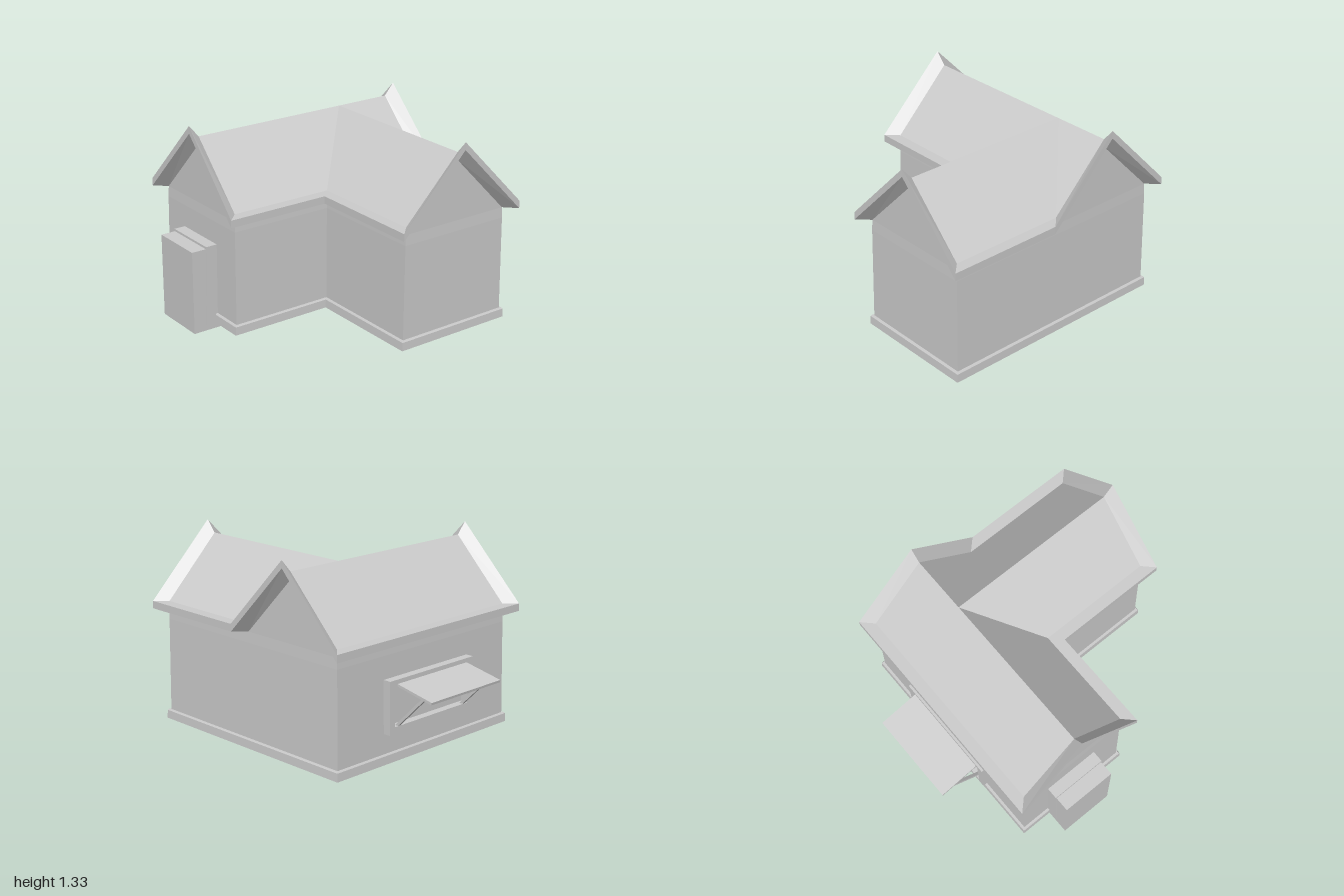
import * as THREE from 'three';

const material = new THREE.MeshStandardMaterial({ color: 0xcccccc, flatShading: true, side: THREE.DoubleSide });

// Plan of the L-shaped house: ridge lines, half span and gable ends
const AX = -0.265, BZ = -0.41, H = 0.395;
const FRONT = 0.695, RIGHT = 0.922, LEFT = AX - H, INX = AX + H, INZ = BZ + H, BACK = BZ - H;

function addMesh(group, name, geometry) {
  const mesh = new THREE.Mesh(geometry, material);
  mesh.name = name;
  group.add(mesh);
  return mesh;
}

function addBox(group, name, x0, x1, y0, y1, z0, z1) {
  const mesh = addMesh(group, name, new THREE.BoxGeometry(x1 - x0, y1 - y0, z1 - z0));
  mesh.position.set((x0 + x1) / 2, (y0 + y1) / 2, (z0 + z1) / 2);
  return mesh;
}

// Flat-faced geometry from convex polygons, each a list of [x, y, z] corners
function fromPolygons(polygons) {
  const positions = [];
  for (const p of polygons)
    for (let i = 1; i < p.length - 1; i++) positions.push(...p[0], ...p[i], ...p[i + 1]);
  const geometry = new THREE.BufferGeometry();
  geometry.setAttribute('position', new THREE.Float32BufferAttribute(positions, 3));
  geometry.computeVertexNormals();
  return geometry;
}

// Quads joining neighbouring closed rings
function strips(rings) {
  const quads = [];
  for (let r = 0; r < rings.length - 1; r++) {
    const a = rings[r], b = rings[r + 1];
    a.forEach((p, i) => {
      const j = (i + 1) % a.length;
      quads.push([p, a[j], b[j], b[i]]);
    });
  }
  return quads;
}

// L-shaped outline grown outward by d, at height y
const outline = (d, y) => [
  [LEFT - d, y, FRONT + d], [INX + d, y, FRONT + d], [INX + d, y, INZ + d],
  [RIGHT + d, y, INZ + d], [RIGHT + d, y, BACK - d], [LEFT - d, y, BACK - d],
];

// Solid through a stack of L-shaped [offset, height] levels
function stackL(levels) {
  const rings = levels.map(([d, y]) => outline(d, y));
  const caps = [[0, 1, 2], [0, 2, 5], [2, 3, 4], [2, 4, 5]];
  const top = rings[rings.length - 1];
  return [
    ...strips(rings),
    ...caps.map((c) => c.map((i) => top[i])),
    ...caps.map((c) => c.map((i) => rings[0][i]).reverse()),
  ];
}

function createRoof() {
  // Perimeter: x, z, outward direction x and z, 1 where a gable peaks
  const path = [
    [LEFT, FRONT, -1, 1, 0], [AX, FRONT, 0, 1, 1], [INX, FRONT, 1, 1, 0],
    [INX, INZ, 1, 1, 0],
    [RIGHT, INZ, 1, 1, 0], [RIGHT, BZ, 1, 0, 1], [RIGHT, BACK, 1, -1, 0],
    [INX, BACK, 1, -1, 0], [AX, BACK, 0, -1, 1], [LEFT, BACK, -1, -1, 0],
  ];
  const ring = (d, eaveY, peakY) => path.map(([x, z, sx, sz, peak]) => {
    const k = peak && d ? d - 0.008 : d;
    return [x + sx * k, peak ? peakY : eaveY, z + sz * k];
  });
  const top = ring(0, 0.85, 1.25);
  // Flared rim, fascia and soffit
  const rim = strips([top, ring(0.077, 0.85, 1.33), ring(0.077, 0.8, 1.28), ring(0, 0.8, 1.2)]);
  rim.forEach((q) => q.reverse());
  // Slopes meeting at the ridge crossing
  const cross = [AX, 1.25, BZ];
  const slopes = [[0, 1, 8, 9], [1, 2, 3], [3, 4, 5], [5, 6, 7], [7, 8]]
    .map((s, i) => (i === 0 ? s.map((k) => top[k]) : [cross, ...s.map((k) => top[k])]));
  return fromPolygons([...rim, ...slopes]);
}

export function createModel() {
  const house = new THREE.Group();
  house.name = 'house';

  // Plinth, slightly tapered walls and the band under the eaves
  const plinth = stackL([[0.03, 0.04], [0.027, 0.095], [0.022, 0.102]]);
  const walls = stackL([[0.01, 0.09], [0.003, 0.73]]);
  const band = stackL([[0.003, 0.73], [0, 0.8]]);
  for (const polys of [plinth, walls, band])
    polys.forEach((p) => p.length === 4 && p);
  addMesh(house, 'plinth', fromPolygons(plinth));
  addMesh(house, 'walls', fromPolygons(walls));
  addMesh(house, 'eavesBand', fromPolygons(band));

  // Gable triangles
  addMesh(house, 'gables', fromPolygons([
    [[LEFT, 0.8, FRONT], [INX, 0.8, FRONT], [AX, 1.2, FRONT]],
    [[RIGHT, 0.8, INZ], [RIGHT, 0.8, BACK], [RIGHT, 1.2, BZ]],
    [[INX, 0.8, BACK], [LEFT, 0.8, BACK], [AX, 1.2, BACK]],
  ]));
  addMesh(house, 'roof', createRoof());

  // Door surround leaning back a little, with the door block in front
  const surround = addBox(house, 'doorSurround', -0.465, -0.08, 0.04, 0.58, 0.68, 0.79);
  const pos = surround.geometry.attributes.position;
  for (let i = 0; i < pos.count; i++)
    if (pos.getY(i) > 0 && pos.getZ(i) > 0) pos.setZ(i, pos.getZ(i) - 0.012);
  surround.geometry.computeVertexNormals();
  addBox(house, 'door', -0.46, -0.085, 0, 0.565, 0.54, 0.88);

  // Side window frame
  const hatch = new THREE.Group();
  hatch.name = 'sideWindow';
  house.add(hatch);
  const z0 = -0.42, z1 = 0.34, t = 0.045;
  addBox(hatch, 'windowSill', -0.72, -0.65, 0.235, 0.235 + t, z0, z1);
  addBox(hatch, 'windowHead', -0.72, -0.65, 0.58 - t, 0.58, z0, z1);
  for (const z of [z0, z1 - t])
    addBox(hatch, 'windowPost', -0.72, -0.65, 0.235 + t, 0.58 - t, z, z + t);

  // Sloping awning and its two struts, as bars between two points in x and y
  const addBar = (name, xa, ya, xb, yb, thick, z, width) => {
    const bar = addMesh(hatch, name, new THREE.BoxGeometry(Math.hypot(xb - xa, yb - ya), thick, width));
    bar.position.set((xa + xb) / 2, (ya + yb) / 2, z);
    bar.rotation.z = Math.atan2(yb - ya, xb - xa);
  };
  addBar('awning', -0.998, 0.49, -0.69, 0.55, 0.016, -0.038, 0.635);
  for (const z of [-0.335, 0.26])
    addBar('awningStrut', -0.925, 0.5, -0.7, 0.275, 0.018, z, 0.02);

  return house;
}
